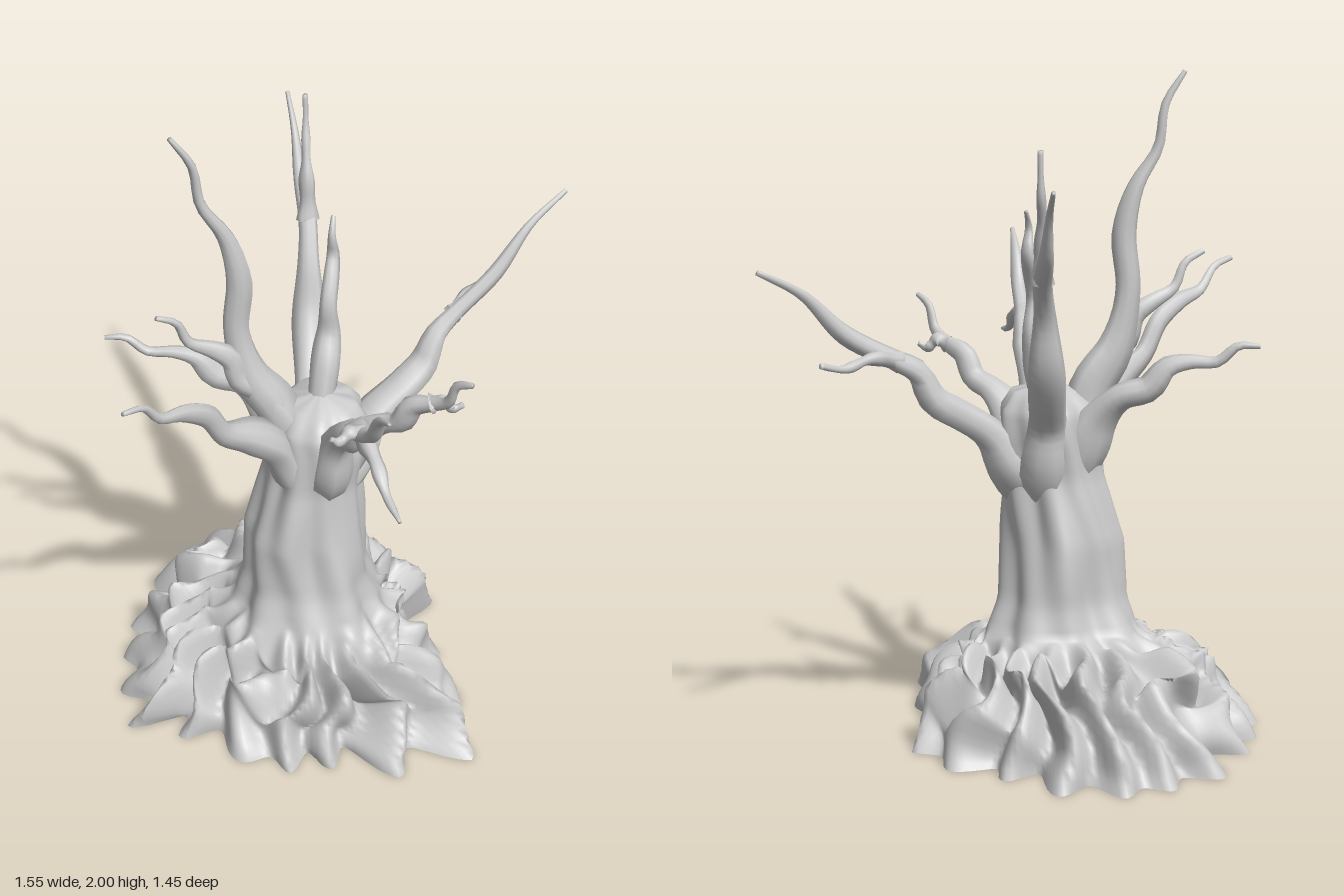
import * as THREE from 'three';

const material = new THREE.MeshStandardMaterial({ color: 0xcccccc, side: THREE.DoubleSide });
const { lerp, clamp } = THREE.MathUtils;
const TAU = Math.PI * 2;

// Skin a list of closed rings (arrays of Vector3) into one smooth surface
function loft(name, rings) {
  const n = rings[0].length, idx = [];
  for (let i = 0; i < rings.length - 1; i++) {
    for (let j = 0; j < n; j++) {
      const a = i * n + j, b = i * n + (j + 1) % n;
      idx.push(a, b, a + n, b, b + n, a + n);
    }
  }
  const g = new THREE.BufferGeometry().setFromPoints(rings.flat());
  g.setIndex(idx);
  g.computeVertexNormals();
  const mesh = new THREE.Mesh(g, material);
  mesh.name = name;
  return mesh;
}

// Piecewise linear lookup in rows sorted by their first value
function sample(rows, v) {
  let i = 0;
  while (i < rows.length - 2 && rows[i + 1][0] < v) i++;
  const t = clamp((v - rows[i][0]) / (rows[i + 1][0] - rows[i][0]), 0, 1);
  return rows[i].map((a, k) => lerp(a, rows[i + 1][k], t));
}

// Curve through the joints, kinked down then up between each pair
function gnarledPath(joints, kink) {
  const up = new THREE.Vector3(0, 1, 0.01), points = [joints[0]];
  for (let i = 1; i < joints.length; i++) {
    const dir = joints[i].clone().sub(joints[i - 1]);
    const bend = dir.clone().cross(up).cross(dir).normalize();
    const at = (t, k) => joints[i - 1].clone().lerp(joints[i], t).addScaledVector(bend, k);
    points.push(at(0.36, -kink), at(0.7, kink), joints[i]);
  }
  return new THREE.CatmullRomCurve3(points, false, 'centripetal');
}

// Tapering limb with an uneven section; the base flares into its parent
function limb(name, curve, radius, flare) {
  const steps = 36, sides = 9, tip = curve.getPointAt(1);
  const { normals, binormals } = curve.computeFrenetFrames(steps);
  const phase = tip.x * 20 + tip.z * 9;
  const rings = [];
  for (let i = 0; i <= steps; i++) {
    const t = i / steps, c = curve.getPointAt(t);
    const r = (lerp(radius, 0.007, t ** 0.9) + flare * (1 - t) ** 4) * (1 + 0.12 * Math.sin(t * 19 + phase));
    rings.push(Array.from({ length: sides }, (_, j) => {
      const a = j / sides * TAU;
      const k = r * (1 + 0.14 * Math.sin(2 * a + t * 5 + phase) + 0.08 * Math.sin(3 * a - t * 8));
      return c.clone().addScaledVector(normals[i], Math.cos(a) * k).addScaledVector(binormals[i], Math.sin(a) * k);
    }));
  }
  rings.push(Array.from({ length: sides }, () => tip));
  return loft(name, rings);
}

// Trunk sections: y, centre x, radius x, radius z
const trunkRows = [
  [0.33, -0.15, 0.225, 0.22],
  [0.42, -0.15, 0.19, 0.19],
  [0.60, -0.155, 0.18, 0.175],
  [0.80, -0.125, 0.145, 0.15],
  [0.92, -0.11, 0.15, 0.16],
  [1.00, -0.11, 0.15, 0.15],
  [1.07, -0.10, 0.09, 0.09],
  [1.08, -0.10, 0, 0]
];
function trunkPoint([y, cx, rx, rz], a) {
  const k = 1 + 0.05 * Math.sin(5 * a + y * 4) + 0.04 * Math.sin(9 * a - y * 8) + 0.035 * Math.sin(3 * a + y * 11);
  return new THREE.Vector3(cx + Math.cos(a) * rx * k, y, -0.01 + Math.sin(a) * rz * k);
}

// Reach of the evenly spaced roots, counted from +x towards +z
const reaches = [0.4, 0.49, 0.58, 0.75, 0.65, 0.53, 0.53, 0.5, 0.5, 0.6, 0.56, 0.54, 0.55, 0.61, 0.62, 0.64, 0.62, 0.53, 0.55, 0.55];
const moundX = -0.2, moundZ = -0.06;

// Reach and ridge strength (1 on a root, 0 in a gully) at an angle
function root(angle) {
  const n = reaches.length;
  const f = ((angle / TAU) % 1 + 1) % 1 * n;
  const i = Math.floor(f) % n, u = f - Math.floor(f);
  return { reach: lerp(reaches[i], reaches[(i + 1) % n], u), ridge: 0.5 + 0.5 * Math.cos(TAU * u) };
}

// Mound profile: fraction from trunk to rim, height
const moundProfile = [[0, 0.33], [0.15, 0.275], [0.35, 0.235], [0.6, 0.18], [0.78, 0.11], [0.92, 0.04], [1, 0]];

function moundPoint(s, a) {
  const inner = trunkPoint(trunkRows[0], a), lump = Math.sin(Math.PI * s);
  // Roots wander sideways between trunk and rim
  const wander = 0.16 * lump * Math.sin(6 * s + 3 * a) + 0.05 * Math.sin(4 * a) + 0.03 * Math.sin(7 * a);
  const { reach, ridge } = root(a + wander);
  // Gullies of uneven depth
  const depth = 0.17 + 0.07 * Math.sin(5 * a + 1);
  const k = lerp(1, 1 - depth * (1 - ridge), s);
  const fold = lump * 0.025 * Math.sin(15 * s + 6 * a + 2 * Math.sin(5 * a));
  // Knotted ridges, standing taller at the back
  const knots = Math.sin(11 * a + 7 * s) * Math.sin(12 * s - 4 * a);
  const y = sample(moundProfile, s)[1] + lump * (0.09 * (ridge - 0.5) + 0.025 * knots - 0.03 * Math.sin(a));
  return new THREE.Vector3(
    moundX + lerp(inner.x - moundX, Math.cos(a) * reach, s) * k + Math.cos(a) * fold,
    Math.max(y, 0),
    moundZ + lerp(inner.z - moundZ, Math.sin(a) * reach, s) * k + Math.sin(a) * fold);
}

// One skin from the open rim of the roots up to the closed crown
function trunkAndRoots() {
  const n = 200, rings = [];
  const ring = fn => rings.push(Array.from({ length: n }, (_, j) => fn(-j / n * TAU)));
  for (let i = 0; i <= 24; i++) ring(a => moundPoint(1 - i / 24, a));
  for (let i = 1; i <= 30; i++) ring(a => trunkPoint(sample(trunkRows, lerp(0.33, 1.08, i / 30)), a));
  return loft('trunkAndRoots', rings);
}

// Each branch rises inside the trunk through a knee and an elbow to its tip; forks leave the elbow
const branches = [
  { name: 'tallBranch', joints: [[-0.31, 1.18, -0.01], [-0.37, 1.66, -0.02], [-0.515, 2, -0.02]] },
  { name: 'rightUpperBranch', joints: [[-0.29, 1.14, 0.01], [-0.43, 1.31, 0.01], [-0.59, 1.46, 0.03]] },
  { name: 'rightBackBranch', joints: [[-0.3, 1.05, -0.16], [-0.5, 1.16, -0.22], [-0.69, 1.21, -0.28]] },
  { name: 'rightFrontBranch', joints: [[-0.35, 1.06, 0.12], [-0.57, 1.28, 0.25], [-0.76, 1.4, 0.37]] },
  { name: 'backBranch', joints: [[-0.07, 1.04, -0.22], [-0.02, 1.42, -0.43], [0, 1.7, -0.72]], forks: [[0, 1.8, -0.51]] },
  { name: 'innerBranch', joints: [[-0.07, 1.15, -0.05], [-0.04, 1.42, -0.1], [-0.02, 1.6, -0.14]] },
  { name: 'leftBranch', joints: [[0.18, 1, -0.08], [0.36, 1.17, -0.16], [0.77, 1.455, -0.31]], forks: [[0.6, 1.195, -0.37]] },
  { name: 'frontBranch', joints: [[-0.09, 1.1, 0.24], [-0.1, 1.23, 0.42], [-0.11, 1.47, 0.71]], forks: [[-0.08, 1.14, 0.72], [-0.2, 1.26, 0.46]] },
  { name: 'leftFrontBranch', joints: [[0.04, 1.03, 0.13], [0.16, 1.16, 0.25], [0.24, 1.3, 0.38]], forks: [[0.25, 1.16, 0.28]] }
];

function branch({ name, joints, forks = [] }) {
  const group = new THREE.Group();
  group.name = name;
  const [knee, elbow, tip] = joints.map(p => new THREE.Vector3(...p));
  const heart = new THREE.Vector3(-0.11, 0.74, -0.01);
  group.add(limb(name + 'Limb', gnarledPath([heart, knee, elbow, tip], 0.016), 0.07, 0.025));
  forks.forEach(p => {
    group.add(limb(name + 'Fork', gnarledPath([elbow, new THREE.Vector3(...p)], -0.012), 0.028, 0));
  });
  return group;
}

export function createModel() {
  const tree = new THREE.Group();
  tree.name = 'bareTree';
  tree.add(trunkAndRoots(), ...branches.map(branch));
  return tree;
}
